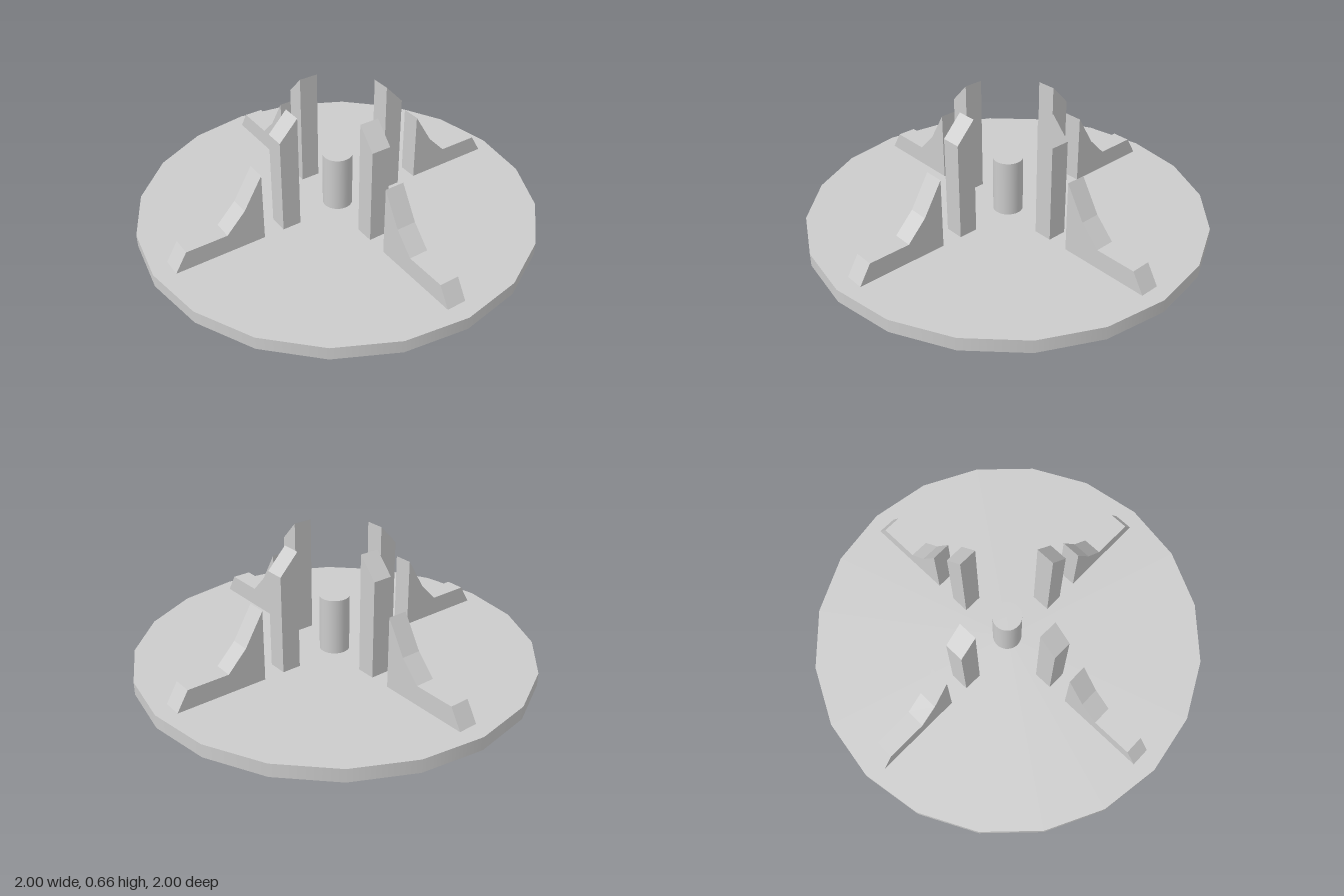
import * as THREE from 'three';

const BASE_TOP = 0.066;
const FIN_WIDTH = 0.098;
const material = new THREE.MeshStandardMaterial({ color: 0xcccccc });

// Upright cylinder standing on y = bottom
function disc(name, radius, bottom, top, sides) {
  const geometry = new THREE.CylinderGeometry(radius, radius, top - bottom, sides);
  geometry.translate(0, (bottom + top) / 2, 0);
  const mesh = new THREE.Mesh(geometry, material);
  mesh.name = name;
  return mesh;
}

// Side profile (distance from centre, height) extruded to the fin width
function fin(name, points) {
  const shape = new THREE.Shape(points.map(([x, y]) => new THREE.Vector2(x, y)));
  const geometry = new THREE.ExtrudeGeometry(shape, { depth: FIN_WIDTH, bevelEnabled: false });
  geometry.translate(0, 0, -FIN_WIDTH / 2);
  const mesh = new THREE.Mesh(geometry, material);
  mesh.name = name;
  return mesh;
}

export function createModel() {
  const model = new THREE.Group();
  model.name = 'finnedDisc';

  // Twenty-sided base plate
  model.add(disc('basePlate', 1, 0, BASE_TOP, 20));

  // Centre pin and fins sit together on the plate
  const top = new THREE.Group();
  top.name = 'fittings';
  top.position.x = 0.004;
  top.add(disc('centrePin', 0.074, BASE_TOP, 0.353, 32));

  // Four arms, each a tall post and a stepped outer fin
  for (let i = 0; i < 4; i++) {
    const arm = new THREE.Group();
    arm.name = `arm${i + 1}`;
    arm.rotation.y = (i * Math.PI) / 2;
    arm.add(
      fin('innerPost', [
        [0.252, BASE_TOP], [0.348, BASE_TOP], [0.348, 0.557], [0.252, 0.659],
      ]),
      fin('outerFin', [
        [0.452, BASE_TOP], [0.913, BASE_TOP], [0.854, 0.163],
        [0.645, 0.163], [0.549, 0.262], [0.452, 0.423],
      ]),
    );
    top.add(arm);
  }
  model.add(top);
  return model;
}
